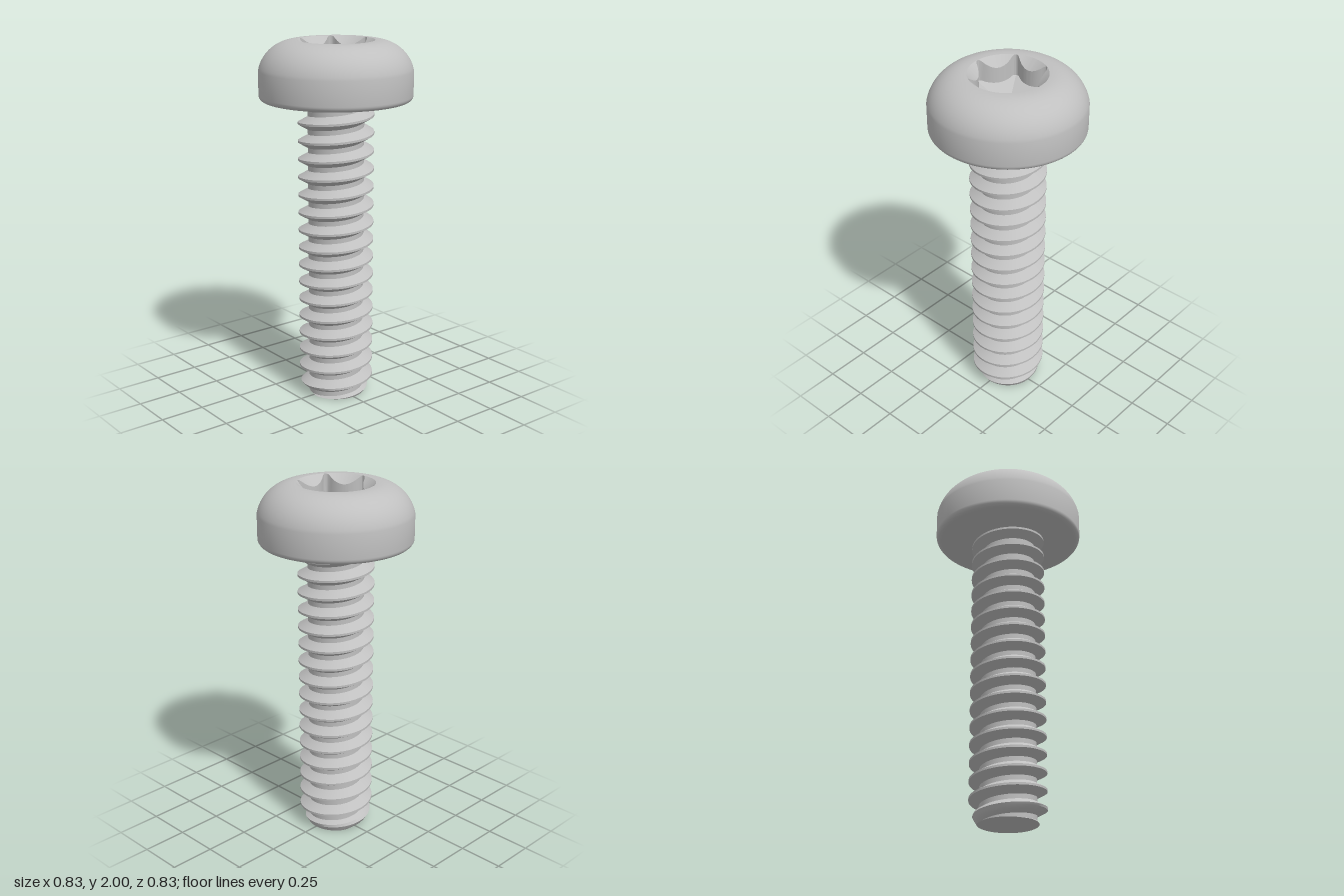
import * as THREE from 'three';
import { toCreasedNormals } from 'three/addons/utils/BufferGeometryUtils.js';

const TAU = Math.PI * 2;

// Closed surface around the y axis: fn(angle, row) returns [radius, y]; faces look left of the row direction
function ringSurface(cols, rows, fn, crease = 0.5) {
  const pos = [], index = [];
  for (let j = 0; j <= rows; j++) {
    for (let i = 0; i <= cols; i++) {
      const a = (i / cols) * TAU;
      const [r, y] = fn(a, j);
      pos.push(r * Math.cos(a), y, -r * Math.sin(a));
    }
  }
  const w = cols + 1;
  for (let j = 0; j < rows; j++) {
    for (let i = 0; i < cols; i++) {
      const a = j * w + i;
      index.push(a, a + 1, a + w + 1, a, a + w + 1, a + w);
    }
  }
  const g = new THREE.BufferGeometry();
  g.setAttribute('position', new THREE.Float32BufferAttribute(pos, 3));
  g.setIndex(index);
  return toCreasedNormals(g, crease);
}

// Rounded pan head with a filleted lower edge
function headGeometry() {
  const p = [new THREE.Vector2(0.14, 1.68)];
  for (let i = 0; i <= 6; i++) {
    const a = -Math.PI / 2 + (i / 6) * (Math.PI / 2);
    p.push(new THREE.Vector2(0.385 + 0.03 * Math.cos(a), 1.71 + 0.03 * Math.sin(a)));
  }
  const start = 0.2;
  for (let i = 0; i <= 16; i++) {
    const a = start + (i / 16) * (Math.PI / 2 - start);
    p.push(new THREE.Vector2(0.22 + 0.199 * Math.cos(a), 1.801 + 0.199 * Math.sin(a)));
  }
  p.push(new THREE.Vector2(0.208, 2));
  return toCreasedNormals(new THREE.LatheGeometry(p, 96), 0.5);
}

// Six-lobed socket: conical lead-in, upright scalloped wall, six-sided pointed floor
function socketGeometry() {
  const sector = TAU / 6;
  const fromValley = (a) => a - Math.round(a / sector) * sector;
  const starRadius = (v) => {
    const a = Math.abs(v);
    if (a < 0.4333) return 0.307 * Math.cos(a) - Math.sqrt(0.152 ** 2 - (0.307 * Math.sin(a)) ** 2);
    const b = sector / 2 - a;
    return 0.188 * Math.cos(b) + Math.sqrt(Math.max(0, 0.02 ** 2 - (0.188 * Math.sin(b)) ** 2));
  };
  return ringSurface(144, 3, (a, j) => {
    const v = fromValley(a), r = starRadius(v);
    if (j === 0) return [0.208, 2];
    if (j === 1) return [r, 2 - (0.208 - r) * 0.9];
    if (j === 2) return [r, 1.79 + 0.5 * r * Math.cos(v)];
    return [0, 1.79];
  }, 0.4);
}

// Right-handed thread with a chamfered, closed lower end
function shankGeometry() {
  const pitch = 0.1, phaseY = 1.59, top = 1.68, crest = 0.207, root = 0.153;
  const steps = [-0.06, 0.06, 0.215, 0.37, 0.63, 0.785];
  const radiusAt = (a, y) => {
    const u = (y - phaseY) / pitch - a / TAU;
    const d = Math.abs(u - Math.round(u));
    const t = THREE.MathUtils.clamp((d - 0.06) / 0.31, 0, 1);
    return Math.min(crest + (root - crest) * t, 0.163 + 0.6 * y);
  };
  return ringSurface(72, 109, (a, j) => {
    if (j === 0) return [0, 0];
    const k = j - 1;
    const u = Math.floor(k / 6) - 17 + steps[k % 6];
    const y = THREE.MathUtils.clamp(phaseY + pitch * (u + a / TAU), 0, top);
    return [radiusAt(a, y), y];
  });
}

export function createModel() {
  const steel = new THREE.MeshStandardMaterial({ color: 0xc0c0c0 });
  steel.name = 'steel grey';
  const model = new THREE.Group();
  model.name = 'screw';
  const parts = { head: headGeometry(), socket: socketGeometry(), threadedShank: shankGeometry() };
  for (const [name, geometry] of Object.entries(parts)) {
    const mesh = new THREE.Mesh(geometry, steel);
    mesh.name = name;
    model.add(mesh);
  }
  return model;
}
